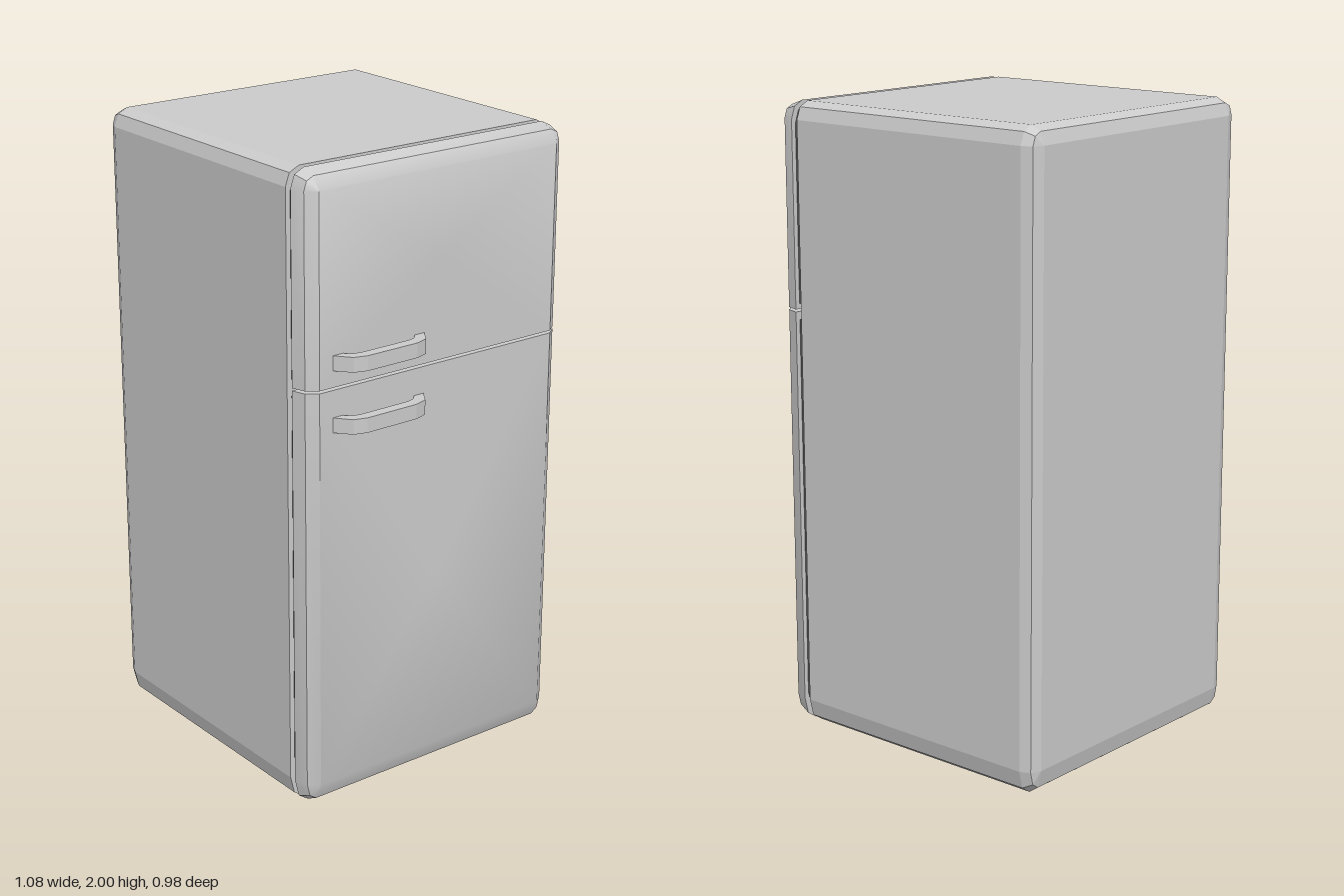
import * as THREE from 'three';
import { toCreasedNormals } from 'three/addons/utils/BufferGeometryUtils.js';

const EDGE = 0.047; // depth of the bevel across z

// Rounded rectangle in the z/y plane; f shrinks its bevelled corners (0 = full, 1 = inner face).
function section(x, f, { hz, y0, y1, bottom, top }) {
  const points = [];
  const corners = [[1, y1 - top, top, 0], [-1, y1 - top, top, 1], [-1, y0 + bottom, bottom, 2], [1, y0 + bottom, bottom, 3]];
  for (const [side, yc, ry, quarter] of corners) {
    for (let i = 0; i <= 2; i++) {
      const a = (quarter + i / 2) * Math.PI / 2;
      points.push(new THREE.Vector3(
        x,
        yc + ry * (1 - f) * Math.sin(a),
        side * (hz - EDGE) + EDGE * (1 - f) * Math.cos(a)
      ));
    }
  }
  return points;
}

// Closed solid skinned over sections [x, f] running towards +x.
function loft(steps, size, crease = 0) {
  const rings = steps.map(([x, f]) => section(x, f, size));
  const positions = [];
  const triangle = (a, b, c) => {
    const area = b.clone().sub(a).cross(c.clone().sub(a)).length();
    if (area > 1e-8) for (const p of [a, b, c]) positions.push(p.x, p.y, p.z);
  };
  const n = rings[0].length;
  for (let r = 0; r < rings.length - 1; r++) {
    const a = rings[r], b = rings[r + 1];
    for (let i = 0; i < n; i++) {
      const j = (i + 1) % n;
      triangle(a[i], b[i], a[j]);
      triangle(a[j], b[i], b[j]);
    }
  }
  const first = rings[0], last = rings[rings.length - 1];
  const middle = (size.y0 + size.y1) / 2;
  const back = new THREE.Vector3(first[0].x, middle, 0);
  const front = new THREE.Vector3(last[0].x, middle, 0);
  for (let i = 0; i < n; i++) {
    const j = (i + 1) % n;
    triangle(back, first[i], first[j]);
    triangle(front, last[j], last[i]);
  }
  const geometry = new THREE.BufferGeometry();
  geometry.setAttribute('position', new THREE.Float32BufferAttribute(positions, 3));
  geometry.computeVertexNormals();
  return crease ? toCreasedNormals(geometry, crease) : geometry;
}

// Bowed grip outlined in x/z and extruded upwards.
function handleGeometry(height) {
  const outline = [
    [0.478, 0.057], [0.527, 0.09], [0.54, 0.133], [0.54, 0.315], [0.527, 0.357], [0.478, 0.396],
    [0.478, 0.361], [0.499, 0.337], [0.505, 0.312], [0.505, 0.138], [0.499, 0.114], [0.478, 0.092],
  ];
  const shape = new THREE.Shape(outline.map(([x, z]) => new THREE.Vector2(x, -z)));
  return new THREE.ExtrudeGeometry(shape, { depth: height, bevelEnabled: false }).rotateX(-Math.PI / 2);
}

export function createModel() {
  const group = new THREE.Group();
  const grey = new THREE.MeshStandardMaterial({ color: 0xcccccc });
  const dark = new THREE.MeshStandardMaterial({ color: 0x555555 });

  const add = (name, geometry, material = grey) => {
    const mesh = new THREE.Mesh(geometry, material);
    mesh.name = name;
    group.add(mesh);
    return mesh;
  };

  // Cabinet, bevelled at the back and along its length
  add('cabinet', loft([[-0.54, 1], [-0.527, 0.29], [-0.494, 0], [0.388, 0]],
    { hz: 0.489, y0: 0, y1: 2, bottom: 0.08, top: 0.055 }));

  // Two doors with bevelled fronts, split by a thin seam
  const doorSteps = [[0.411, 0], [0.455, 0.29], [0.48, 1]];
  add('upperDoor', loft(doorSteps, { hz: 0.489, y0: 1.359, y1: 2, bottom: 0, top: 0.055 }, 0.6));
  add('lowerDoor', loft(doorSteps, { hz: 0.489, y0: 0, y1: 1.351, bottom: 0.08, top: 0 }, 0.6));

  // Recessed seals between the cabinet and the doors
  const sealSteps = [[0.388, 0], [0.411, 0]];
  add('upperSeal', loft(sealSteps, { hz: 0.473, y0: 1.376, y1: 1.987, bottom: 0, top: 0.055 }), dark);
  add('lowerSeal', loft(sealSteps, { hz: 0.473, y0: 0.025, y1: 1.325, bottom: 0.07, top: 0 }), dark);

  // Handles either side of the seam
  for (const [name, y] of [['upperHandle', 1.41], ['lowerHandle', 1.221]]) {
    add(name, handleGeometry(0.046)).position.y = y;
  }

  return group;
}
